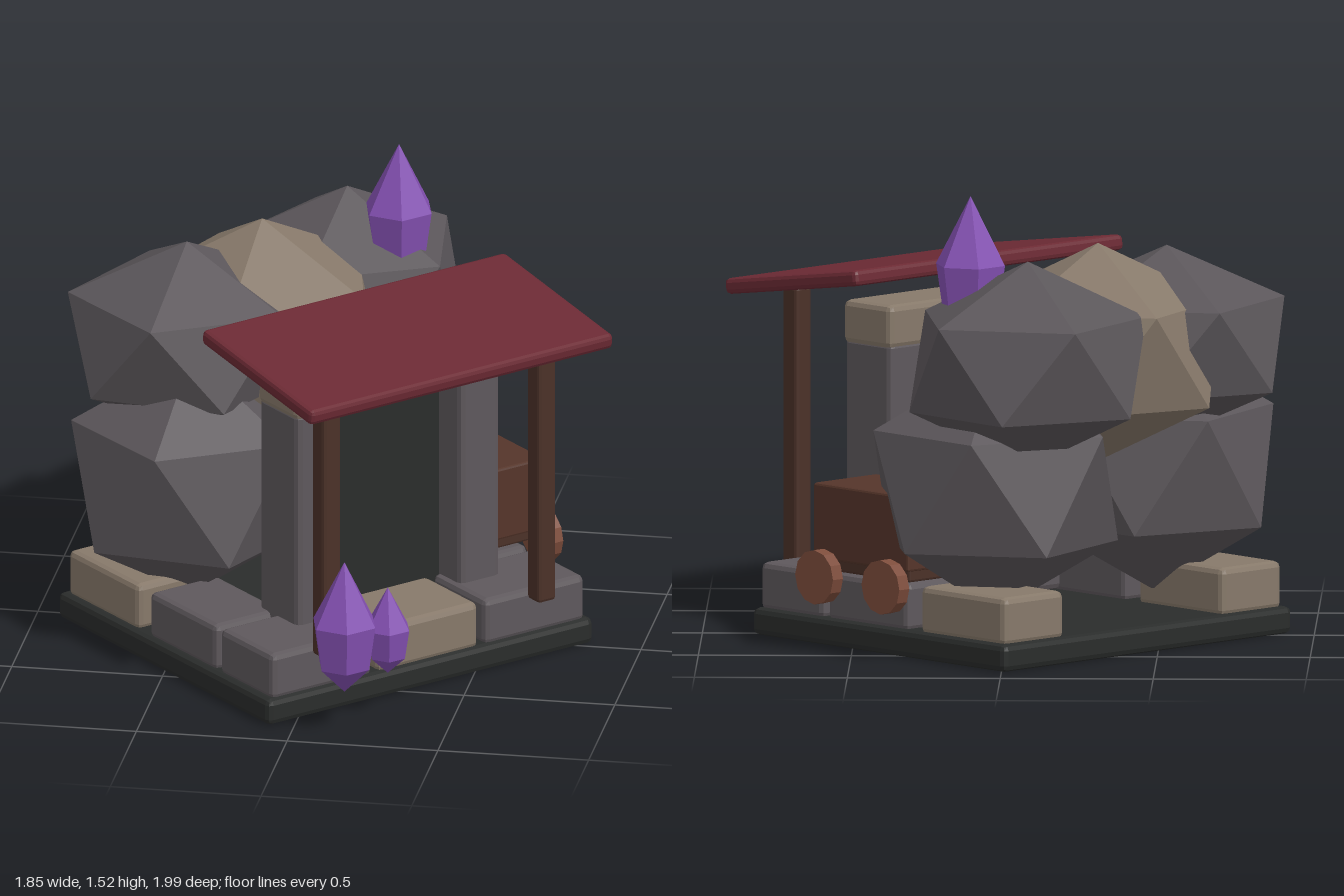
import * as THREE from 'three';
import { RoundedBoxGeometry } from 'three/addons/geometries/RoundedBoxGeometry.js';

const paint = (name, color) => {
  const m = new THREE.MeshStandardMaterial({ color, flatShading: true });
  m.name = name;
  return m;
};

export function createModel() {
  const root = new THREE.Group();
  root.name = 'mineEntrance';
  const rockGrey = paint('rock grey', 0x5b565a);
  const stoneGrey = paint('stone grey', 0x5e585c);
  const sandstone = paint('sandstone', 0x87796a);
  const dark = paint('dark slate', 0x2a2c2b);
  const roofRed = paint('roof red', 0x6c2a34);
  const postWood = paint('post wood', 0x4b3128);
  const cartWood = paint('cart wood', 0x55352a);
  const wheelWood = paint('wheel wood', 0x7e4d3c);
  const crystalPurple = paint('crystal purple', 0x8450b2);

  // The building stands turned by 45 degrees
  const site = new THREE.Group();
  site.name = 'site';
  site.position.set(-0.045, 0, 0.005);
  site.rotation.y = Math.PI / 4;
  root.add(site);

  const add = (parent, name, geometry, material, x, y, z) => {
    const mesh = new THREE.Mesh(geometry, material);
    mesh.name = name;
    mesh.position.set(x, y, z);
    parent.add(mesh);
    return mesh;
  };
  // Box with chamfered edges, placed by its centre
  const block = (name, material, [w, h, d], [x, y, z], bevel = 0.015) =>
    add(site, name, new RoundedBoxGeometry(w, h, d, 1, bevel), material, x, y, z);

  // Ground slab
  block('groundSlab', dark, [1.3, 0.09, 1.2], [0, 0.045, 0], 0.02);

  // Kerb stones along the front and both sides
  for (const i of [-1, 0, 1]) {
    block('frontKerb', i ? stoneGrey : sandstone, [0.4, 0.16, 0.3], [i * 0.425, 0.16, 0.435], 0.02);
  }
  for (const s of [-1, 1]) {
    block('sideKerb', stoneGrey, [0.27, 0.16, 0.38], [s * 0.49, 0.16, 0.075], 0.02);
    block('backKerb', sandstone, [0.27, 0.16, 0.4], [s * 0.49, 0.16, -0.375], 0.02);
  }

  // Doorway: two pillars, lintel and dark opening
  for (const s of [-1, 1]) {
    block('pillar', stoneGrey, [0.16, 0.89, 0.22], [s * 0.325, 0.535, 0.307], 0.02);
  }
  block('lintel', sandstone, [0.82, 0.145, 0.225], [0, 1.03, 0.307], 0.02);
  add(site, 'doorOpening', new THREE.BoxGeometry(0.5, 0.89, 0.06), dark, 0, 0.535, 0.265);

  // Sloping canopy on two posts
  for (const s of [-1, 1]) {
    block('canopyPost', postWood, [0.07, 0.92, 0.07], [s * 0.43, 0.67, 0.615], 0.012);
  }
  block('canopy', roofRed, [1.21, 0.052, 0.63], [0, 1.172, 0.465], 0.015).rotation.x = 0.148;

  // Cart with four wheels
  block('cartBody', cartWood, [0.3, 0.25, 0.45], [0.53, 0.415, 0.05], 0.008);
  block('cartFrame', postWood, [0.24, 0.05, 0.4], [0.53, 0.275, 0.05], 0.008);
  const wheel = new THREE.CylinderGeometry(0.09, 0.09, 0.045, 12).rotateZ(Math.PI / 2);
  for (const x of [0.34, 0.72]) {
    for (const z of [-0.11, 0.205]) add(site, 'cartWheel', wheel, wheelWood, x, 0.24, z);
  }

  // Boulders: icosahedra standing on a corner: [name, material, centre, radius, half height, spin in degrees]
  const boulders = [
    ['lowerLeftBoulder', rockGrey, [-0.475, 0.555, 0.09], 0.44, 0.42, -8],
    ['lowerRightBoulder', rockGrey, [0.03, 0.555, -0.433], 0.45, 0.42, 26],
    ['upperLeftBoulder', rockGrey, [-0.52, 0.98, -0.08], 0.435, 0.32, -8],
    ['upperRightBoulder', rockGrey, [-0.08, 0.98, -0.61], 0.435, 0.34, -11],
    ['topBoulder', sandstone, [-0.3, 0.97, -0.25], 0.45, 0.36, -6],
  ];
  for (const [name, material, centre, r, h, spin] of boulders) {
    const g = new THREE.IcosahedronGeometry(1, 0)
      .rotateX(-Math.atan((1 + Math.sqrt(5)) / 2))
      .rotateY(THREE.MathUtils.degToRad(spin))
      .scale(r, h, r);
    add(root, name, g, material, ...centre);
  }

  // Six-sided crystals, sized from their lower tip: [x, y, z, radius, height]
  const profile = [[0, 0], [0.8, 0.2], [1, 0.53], [0, 1]];
  const crystals = [
    [0.11, 1.04, -0.505, 0.118, 0.48],
    [0.17, 0.14, 0.885, 0.112, 0.455],
    [0.285, 0.15, 0.72, 0.078, 0.3],
  ];
  for (const [x, y, z, r, h] of crystals) {
    const points = profile.map(([a, b]) => new THREE.Vector2(a * r, b * h));
    add(root, 'crystal', new THREE.LatheGeometry(points, 6), crystalPurple, x, y, z).rotation.y = 0.25;
  }
  return root;
}
